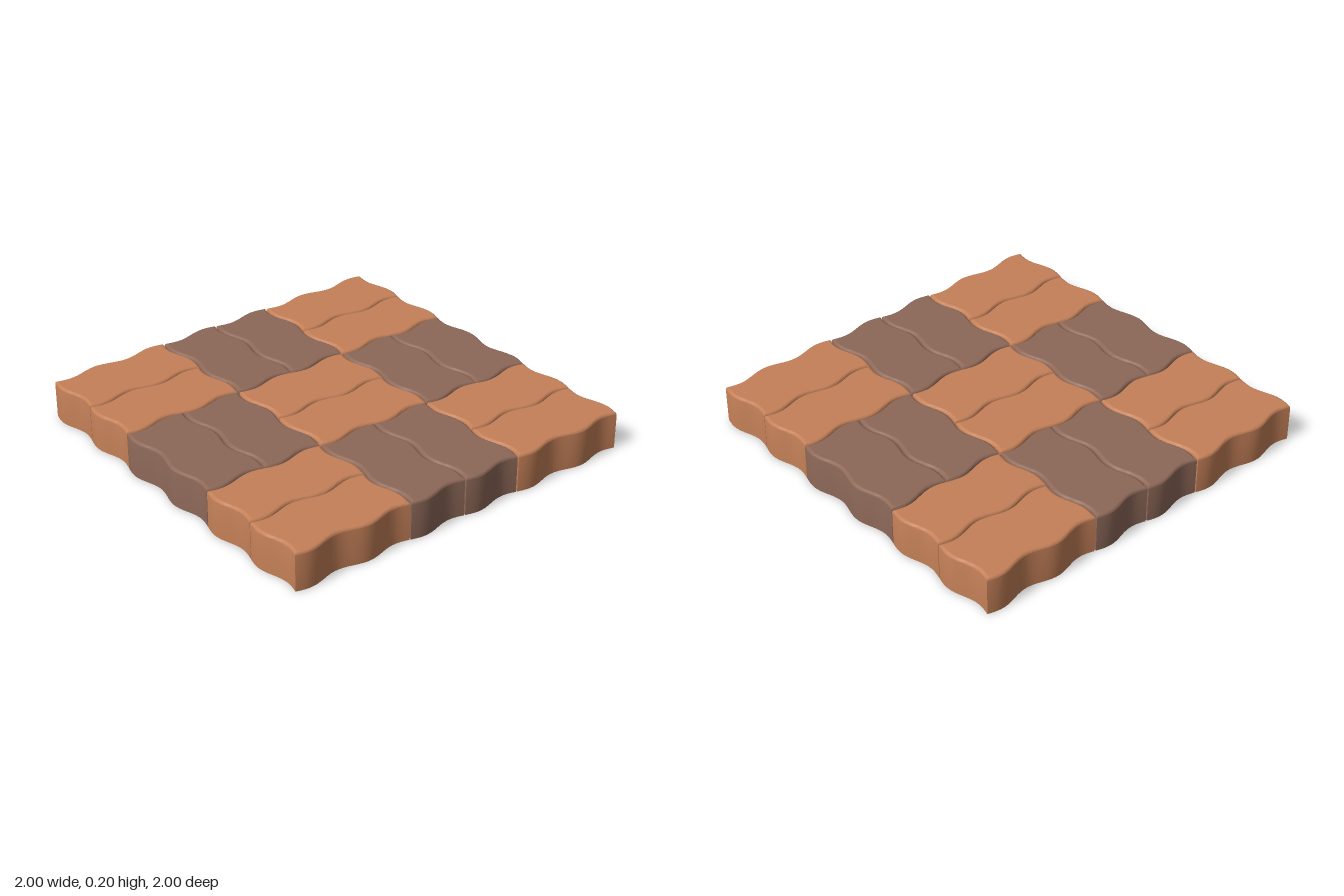
import * as THREE from 'three';
import { mergeGeometries, toCreasedNormals } from 'three/addons/utils/BufferGeometryUtils.js';

const UNIT = 0.329;    // brick width, also the wavelength of its edges
const WAVE = 0.0165;   // wave height
const GAP = 0.003;     // half of the joint between bricks
const HEIGHT = 0.2;
const BEVEL = 0.015;
const STEPS = 14;      // edge segments per wavelength

// Bends the plan so that every straight brick edge becomes a sine wave
function warp(x, z) {
  const k = (2 * Math.PI) / UNIT;
  return [x - WAVE * Math.sin(k * z), z + WAVE * Math.sin(k * x)];
}

// Wavy outline of a brick, counterclockwise from above
function outline(x0, z0, w, d, inset) {
  const i = GAP + inset;
  const a = x0 + i, b = x0 + w - i, c = z0 + i, e = z0 + d - i;
  const corners = [[a, c], [a, e], [b, e], [b, c]];
  const points = [];
  corners.forEach(([px, pz], n) => {
    const [qx, qz] = corners[(n + 1) % 4];
    const count = Math.round((n % 2 ? w : d) / UNIT) * STEPS;
    for (let s = 0; s < count; s++) {
      const t = s / count;
      points.push(warp(px + (qx - px) * t, pz + (qz - pz) * t));
    }
  });
  return points;
}

function fromPositions(positions) {
  const g = new THREE.BufferGeometry();
  g.setAttribute('position', new THREE.Float32BufferAttribute(positions, 3));
  return g;
}

// Flat lid over an outline, facing up or down
function cap(points, y, up) {
  const faces = THREE.ShapeUtils.triangulateShape(points.map(([x, z]) => new THREE.Vector2(x, -z)), []);
  const positions = [];
  for (const f of faces) {
    for (const i of up ? f : [f[0], f[2], f[1]]) positions.push(points[i][0], y, points[i][1]);
  }
  const g = fromPositions(positions);
  g.computeVertexNormals();
  return g;
}

function brickGeometry(x0, z0, w, d) {
  // Straight wall, then a rounded top edge
  const rings = [{ y: 0, points: outline(x0, z0, w, d, 0) }];
  for (let s = 0; s <= 4; s++) {
    const t = (s / 4) * Math.PI / 2;
    rings.push({
      y: HEIGHT - BEVEL + BEVEL * Math.sin(t),
      points: outline(x0, z0, w, d, BEVEL * (1 - Math.cos(t))),
    });
  }
  const positions = [];
  for (let r = 0; r < rings.length - 1; r++) {
    const lo = rings[r], hi = rings[r + 1], n = lo.points.length;
    for (let i = 0; i < n; i++) {
      const j = (i + 1) % n;
      const corner = (ring, m) => [ring.points[m][0], ring.y, ring.points[m][1]];
      const a = corner(lo, i), b = corner(lo, j), c = corner(hi, j), e = corner(hi, i);
      positions.push(...a, ...b, ...c, ...a, ...c, ...e);
    }
  }
  const sides = toCreasedNormals(fromPositions(positions), Math.PI / 5);
  const top = rings[rings.length - 1];
  return mergeGeometries([sides, cap(top.points, HEIGHT, true), cap(rings[0].points, 0, false)]);
}

export function createModel() {
  const model = new THREE.Group();
  model.name = 'wavyPaving';
  const terracotta = new THREE.MeshStandardMaterial({ color: 0xc48058 });
  terracotta.name = 'terracotta';
  const brown = new THREE.MeshStandardMaterial({ color: 0x8d6858 });
  brown.name = 'brown';

  // Three by three cells, each a pair of bricks, alternating in direction and colour
  for (let row = 0; row < 3; row++) {
    for (let col = 0; col < 3; col++) {
      const upright = (row + col) % 2 === 0;
      const x = (col * 2 - 3) * UNIT, z = (row * 2 - 3) * UNIT;
      const pair = new THREE.Group();
      pair.name = upright ? 'uprightBrickPair' : 'crosswiseBrickPair';
      for (let n = 0; n < 2; n++) {
        const geometry = upright
          ? brickGeometry(x + n * UNIT, z, UNIT, UNIT * 2)
          : brickGeometry(x, z + n * UNIT, UNIT * 2, UNIT);
        const brick = new THREE.Mesh(geometry, upright ? terracotta : brown);
        brick.name = upright ? 'terracottaBrick' : 'brownBrick';
        pair.add(brick);
      }
      model.add(pair);
    }
  }
  return model;
}
